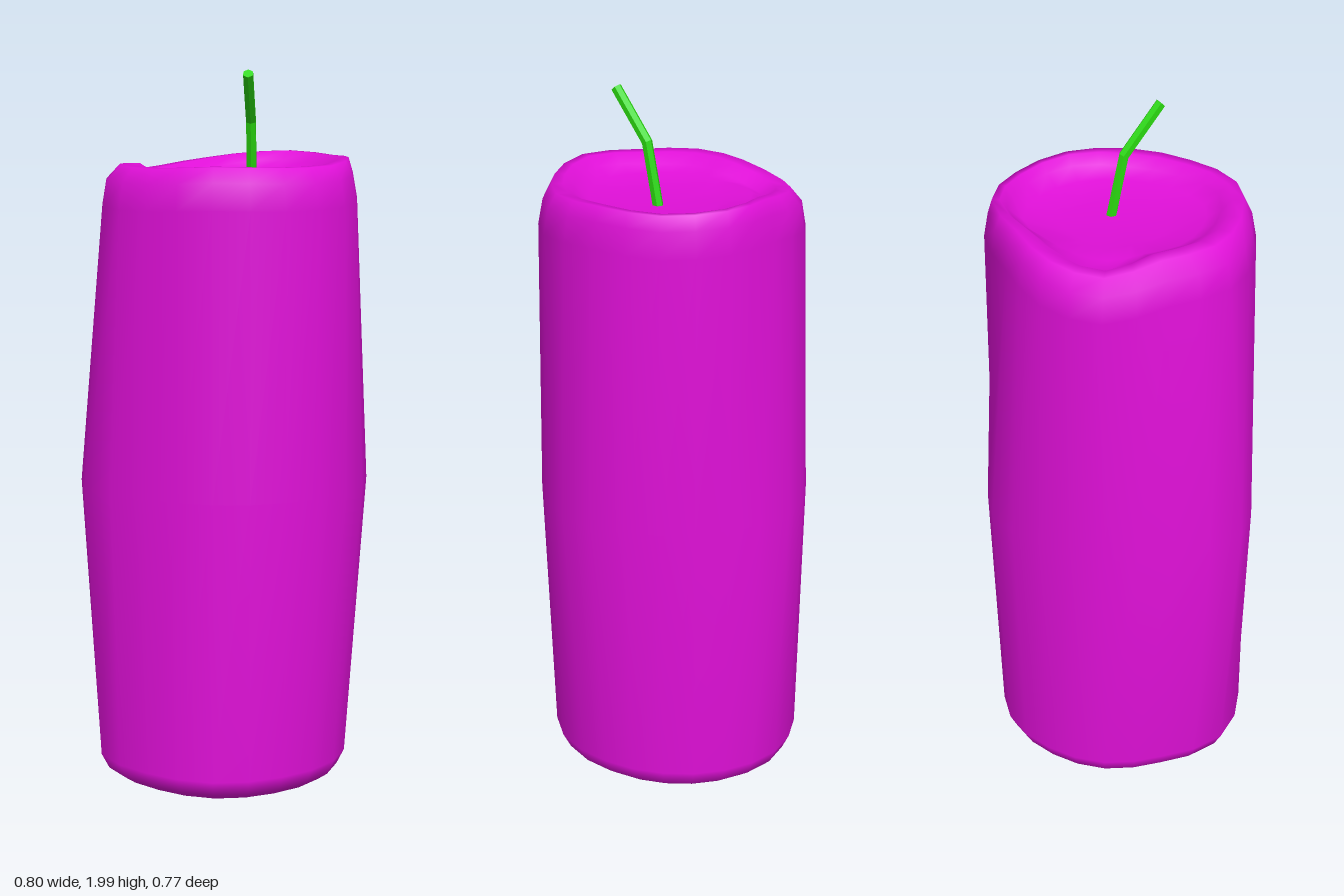
import * as THREE from 'three';

const SIDES = 24;

// Closed skin over a list of rings, with a centre point capping each end.
function loft(rings, first, last) {
  const n = rings[0].length;
  const points = [first, ...rings.flat(), last];
  const end = points.length - 1;
  const index = [];
  const at = (k, i) => 1 + k * n + (i % n);
  for (let i = 0; i < n; i++) {
    index.push(0, at(0, i + 1), at(0, i));
    for (let k = 0; k < rings.length - 1; k++) {
      index.push(at(k, i), at(k, i + 1), at(k + 1, i + 1));
      index.push(at(k, i), at(k + 1, i + 1), at(k + 1, i));
    }
    index.push(at(rings.length - 1, i), at(rings.length - 1, i + 1), end);
  }
  const geometry = new THREE.BufferGeometry().setFromPoints(points);
  geometry.setIndex(index);
  geometry.computeVertexNormals();
  return geometry;
}

// Smooth value between 12 entries spaced 30 degrees apart, from the front towards +x.
function around(table, i) {
  const n = table.length;
  const t = (i / SIDES) * n;
  const k = Math.floor(t), f = t - k;
  const [a, b, c, d] = [-1, 0, 1, 2].map((o) => table[(k + o + n) % n]);
  return b + 0.5 * f * (c - a + f * (2 * a - 5 * b + 4 * c - d + f * (3 * (b - c) + d - a)));
}

function ring(radius, height) {
  return Array.from({ length: SIDES }, (_, i) => {
    const a = (i / SIDES) * Math.PI * 2;
    const r = radius(i);
    return new THREE.Vector3(r * Math.sin(a), height(i), r * Math.cos(a));
  });
}

function createWax() {
  // Radii at the foot, waist, shoulder and bowl edge; height of the lip
  const foot = [0.385, 0.375, 0.375, 0.35, 0.34, 0.345, 0.355, 0.345, 0.345, 0.345, 0.39, 0.38];
  const waist = [0.38, 0.39, 0.405, 0.402, 0.365, 0.36, 0.383, 0.36, 0.36, 0.385, 0.43, 0.38];
  const shoulder = [0.385, 0.38, 0.39, 0.365, 0.36, 0.355, 0.315, 0.335, 0.345, 0.325, 0.365, 0.37];
  const bowl = [0.3, 0.29, 0.29, 0.3, 0.3, 0.29, 0.23, 0.22, 0.225, 0.2, 0.23, 0.26];
  const lip = [1.755, 1.75, 1.75, 1.76, 1.755, 1.76, 1.75, 1.73, 1.715, 1.74, 1.745, 1.745];

  const R = (table, s = 1) => (i) => s * around(table, i);
  const mix = (t) => (i) => around(bowl, i) * (1 - t) + around(shoulder, i) * t;
  const Y = (drop) => (i) => around(lip, i) - drop;
  const rings = [
    ring(R(foot, 0.6), () => 0.018),
    ring(R(foot, 0.86), () => 0.008),
    ring(R(foot, 0.94), () => 0.03),
    ring(R(foot), () => 0.075),
    ring(R(waist), () => 0.86),
    ring(R(shoulder), Y(0.11)),
    ring(R(shoulder, 0.965), Y(0.04)),
    ring(mix(0.62), Y(0)),
    ring(mix(0.3), Y(0)),
    ring(R(bowl), Y(0.025)),
    ring(R(bowl, 0.86), () => 1.705),
    ring(R(bowl, 0.5), () => 1.695),
  ];
  const geometry = loft(rings, new THREE.Vector3(0, 0.02, 0), new THREE.Vector3(0.02, 1.692, 0.01));
  const mesh = new THREE.Mesh(geometry, new THREE.MeshStandardMaterial({ color: 0xe010d8 }));
  mesh.name = 'waxBody';
  return mesh;
}

function createWick() {
  // Bent six-sided stick leaning to the front: y, z and tilt of each joint
  const joints = [[1.675, 0.015, 0.22], [1.86, 0.055, 0.5], [1.99, 0.16, 0.75]];
  const radius = 0.015;
  const centre = ([y, z]) => new THREE.Vector3(0.075, y, z);
  const rings = joints.map((joint) => Array.from({ length: 6 }, (_, i) => {
    const a = (i / 6) * Math.PI * 2;
    const across = radius * Math.cos(a);
    return centre(joint).add(new THREE.Vector3(
      radius * Math.sin(a), -across * Math.sin(joint[2]), across * Math.cos(joint[2])));
  }));
  const geometry = loft(rings, centre(joints[0]), centre(joints[2]));
  const mesh = new THREE.Mesh(geometry,
    new THREE.MeshStandardMaterial({ color: 0x2ad80f, flatShading: true }));
  mesh.name = 'wick';
  return mesh;
}

export function createModel() {
  const group = new THREE.Group();
  group.name = 'candle';
  group.add(createWax(), createWick());
  return group;
}
